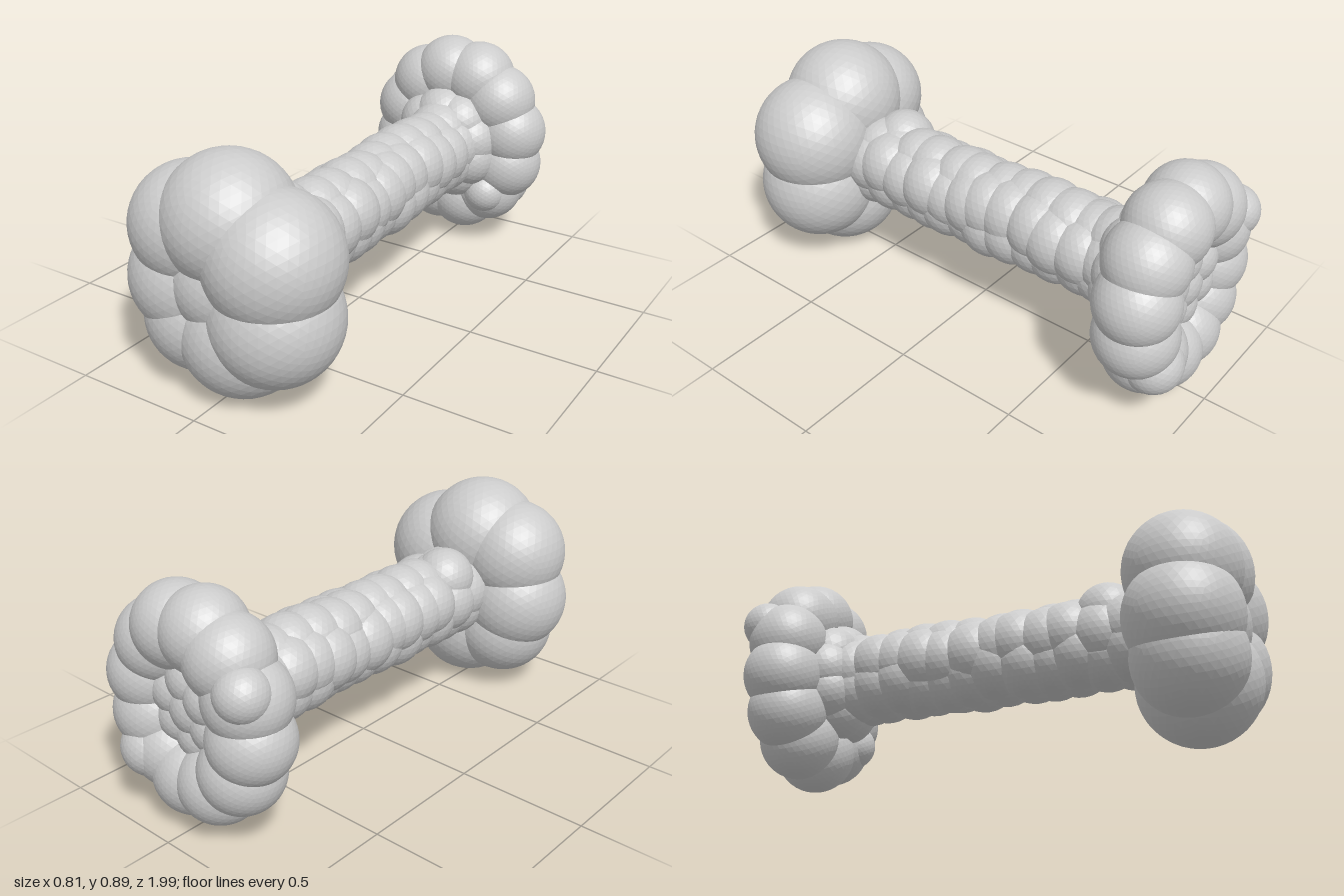
import * as THREE from 'three';

export function createModel() {
  const model = new THREE.Group();
  const material = new THREE.MeshStandardMaterial({ color: 0xcccccc, flatShading: true });
  const coarse = new THREE.IcosahedronGeometry(1, 5);
  const fine = new THREE.IcosahedronGeometry(1, 7);

  // Small seeded generator, returns -amount..amount
  let seed = 7;
  const jitter = (amount) => {
    seed = (seed * 16807) % 2147483647;
    return (seed / 2147483647 * 2 - 1) * amount;
  };

  const part = (name) => {
    const group = new THREE.Group();
    group.name = name;
    model.add(group);
    return group;
  };

  const lobe = (group, name, x, y, z, r, geometry = coarse) => {
    const mesh = new THREE.Mesh(geometry, material);
    mesh.name = name;
    mesh.position.set(x, y, z);
    mesh.scale.setScalar(r);
    group.add(mesh);
  };

  // Evenly spaced lobes around the long axis
  const ring = (group, name, count, start, cx, cy, z, rx, ry, r, wobble, geometry = coarse) => {
    for (let i = 0; i < count; i++) {
      const a = start + i * Math.PI * 2 / count;
      lobe(group, name, cx + rx * Math.cos(a) + jitter(wobble), cy + ry * Math.sin(a) + jitter(wobble),
        z + jitter(wobble * 3), r + jitter(wobble / 2), geometry);
    }
  };

  // Front knob: seven large lobes around a core
  const frontKnob = part('frontKnob');
  [
    [-0.01, 0.635, 0.755, 0.235],
    [0.165, 0.535, 0.758, 0.241],
    [0.165, 0.323, 0.755, 0.235],
    [0.03, 0.23, 0.75, 0.229],
    [-0.14, 0.257, 0.755, 0.208],
    [-0.19, 0.39, 0.755, 0.216],
    [-0.165, 0.585, 0.76, 0.216],
  ].forEach(([x, y, z, r]) => lobe(frontKnob, 'frontLobe', x, y, z, r, fine));
  lobe(frontKnob, 'frontCore', -0.02, 0.42, 0.762, 0.2, fine);

  // Shaft: closely overlapping rings of broad lobes
  const shaft = part('shaft');
  const rows = 12;
  for (let i = 0; i < rows; i++) {
    const t = i / (rows - 1);
    const z = THREE.MathUtils.lerp(0.52, -0.6, t);
    const y = THREE.MathUtils.lerp(0.437, 0.455, t);
    ring(shaft, 'shaftLobe', 5, Math.PI / 2 + 0.15 + jitter(0.2), 0.007, y, z, 0.055, 0.055, 0.134, 0.006);
  }
  lobe(shaft, 'frontShoulder', -0.04, 0.53, 0.45, 0.122);

  // Flare where the shaft meets the back knob
  const flare = part('flare');
  ring(flare, 'flareLobe', 9, 0.3, 0, 0.455, -0.7, 0.115, 0.12, 0.125, 0.002);

  // Back knob: twelve medium lobes, recessed centre, small extra lobes
  const backKnob = part('backKnob');
  ring(backKnob, 'backLobe', 12, 1.74, 0, 0.463, -0.817, 0.245, 0.282, 0.153, 0.002, fine);
  ring(backKnob, 'innerLobe', 6, 0.4, 0, 0.455, -0.81, 0.1, 0.1, 0.11, 0.004);
  lobe(backKnob, 'centreLobe', 0, 0.455, -0.8, 0.12);
  [
    [-0.28, 0.62, -0.88, 0.095],
    [0.2, 0.25, -0.88, 0.11],
    [0.18, 0.25, -0.73, 0.09],
  ].forEach(([x, y, z, r]) => lobe(backKnob, 'smallLobe', x, y, z, r));

  return model;
}
